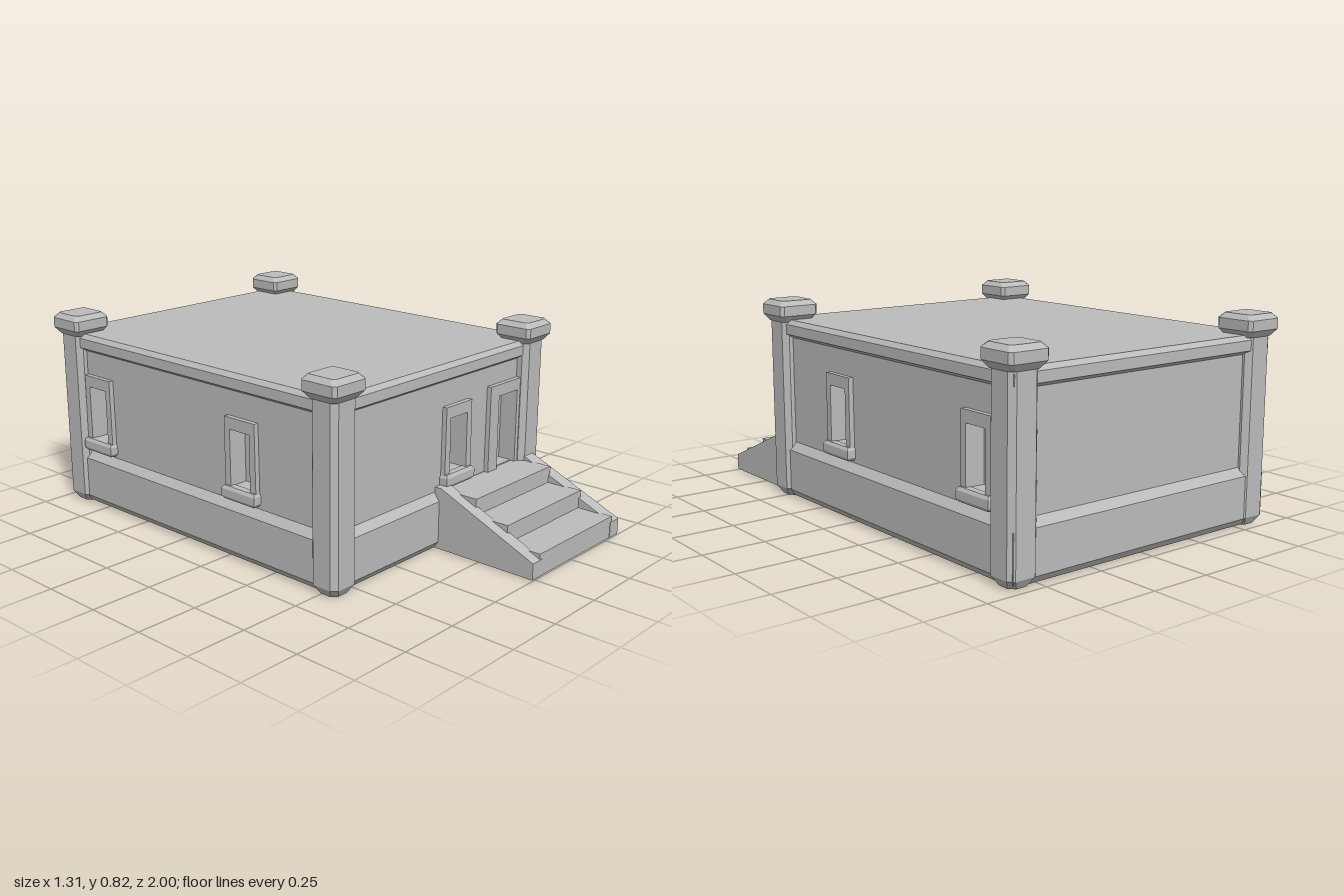
import * as THREE from 'three';

const stone = new THREE.MeshStandardMaterial({ color: 0xbcbcbc });
stone.name = 'grey stone';

const CZ = -0.205;            // centre of the house along z
const WX = 0.597, WZ = 0.742; // half sizes to the wall faces
const THICK = 0.06;           // depth of window and door recesses

function add(parent, name, geometry, x = 0, y = 0, z = 0) {
  const mesh = new THREE.Mesh(geometry, stone);
  mesh.name = name;
  mesh.position.set(x, y, z);
  parent.add(mesh);
  return mesh;
}

// Box between two corners
function block(parent, name, x0, x1, y0, y1, z0, z1) {
  return add(parent, name, new THREE.BoxGeometry(x1 - x0, y1 - y0, z1 - z0),
    (x0 + x1) / 2, (y0 + y1) / 2, (z0 + z1) / 2);
}

// Stack of rectangles [y, inset] with optional cut corners, capped at both ends
function loft(halfX, halfZ, rings, cut = 0) {
  const pos = [];
  const sections = rings.map(([y, inset]) => {
    const a = halfX - inset, b = halfZ - inset, c = cut;
    const pts = c
      ? [[a, b - c], [a - c, b], [c - a, b], [-a, b - c], [-a, c - b], [c - a, -b], [a - c, -b], [a, c - b]]
      : [[a, b], [-a, b], [-a, -b], [a, -b]];
    return pts.map(([x, z]) => [x, y, z]);
  });
  const n = sections[0].length;
  for (let s = 0; s < sections.length - 1; s++) {
    const lo = sections[s], hi = sections[s + 1];
    for (let i = 0; i < n; i++) {
      const j = (i + 1) % n;
      pos.push(...lo[i], ...hi[j], ...lo[j], ...lo[i], ...hi[i], ...hi[j]);
    }
  }
  const lo = sections[0], hi = sections[sections.length - 1];
  for (let i = 1; i < n - 1; i++) {
    pos.push(...lo[0], ...lo[i], ...lo[i + 1], ...hi[0], ...hi[i + 1], ...hi[i]);
  }
  const g = new THREE.BufferGeometry();
  g.setAttribute('position', new THREE.Float32BufferAttribute(pos, 3));
  g.computeVertexNormals();
  return g;
}

const polygon = (pts) => new THREE.Shape(pts.map(([x, y]) => new THREE.Vector2(x, y)));
const rect = (x0, x1, y0, y1) => polygon([[x0, y0], [x1, y0], [x1, y1], [x0, y1]]);

function extrude(shape, depth, holes = []) {
  shape.holes = holes;
  return new THREE.ExtrudeGeometry(shape, { depth, bevelEnabled: false });
}

// Framed window with a sill; its local z = 0 is the wall face
function windowFrame(parent, x) {
  const g = new THREE.Group();
  g.name = 'window';
  g.position.x = x;
  const outer = polygon([[-0.083, 0.27], [0.083, 0.27], [0.08, 0.567], [-0.08, 0.567]]);
  add(g, 'windowFrame', extrude(outer, 0.02, [rect(-0.052, 0.052, 0.295, 0.52)]));
  const sill = loft(0.088, 0.022, [[0.243, 0.008], [0.255, 0], [0.285, 0], [0.297, 0.008]]);
  add(g, 'windowSill', sill, 0, 0, 0.014);
  parent.add(g);
}

// One wall side: panel with openings, recessed backing and window frames
function wall(parent, name, half, dist, angle, windows, door = false) {
  const g = new THREE.Group();
  g.name = name;
  g.rotation.y = angle;
  g.position.set(Math.sin(angle) * dist, 0, CZ + Math.cos(angle) * dist);
  const holes = windows.map((x) => rect(x - 0.052, x + 0.052, 0.295, 0.52));
  if (door) holes.push(rect(0.365, 0.49, 0.235, 0.54));
  add(g, 'wallPanel', extrude(rect(-half, half, 0.19, 0.69), THICK, holes), 0, 0, -THICK);
  for (const x of windows) {
    block(g, 'windowPane', x - 0.07, x + 0.07, 0.28, 0.54, -THICK - 0.01, -THICK + 0.002);
    windowFrame(g, x);
  }
  if (door) {
    block(g, 'doorPanel', 0.35, 0.505, 0.22, 0.555, -THICK - 0.01, -THICK + 0.002);
    const frame = polygon([[0.305, 0.225], [0.365, 0.225], [0.365, 0.54], [0.49, 0.54],
      [0.49, 0.225], [0.515, 0.225], [0.515, 0.588], [0.308, 0.588]]);
    add(g, 'doorFrame', extrude(frame, 0.02));
  }
  parent.add(g);
}

export function createModel() {
  const model = new THREE.Group();
  model.name = 'house';

  // Plinth with sloped top, and the roof slab with its frieze
  add(model, 'plinth', loft(WX + 0.025, WZ + 0.025,
    [[0.004, 0.02], [0.032, 0], [0.2, 0], [0.235, 0.027]]), 0, 0, CZ);
  add(model, 'roofSlab', loft(WX + 0.025, WZ + 0.025,
    [[0.665, 0.027], [0.682, 0], [0.722, 0], [0.74, 0.016]]), 0, 0, CZ);

  // Walls
  wall(model, 'frontWall', WX, WZ, 0, [0.102], true);
  wall(model, 'backWall', WX, WZ, Math.PI, []);
  wall(model, 'leftWall', WZ, WX, Math.PI / 2, [CZ - 0.09, CZ + 0.768]);
  wall(model, 'rightWall', WZ, WX, -Math.PI / 2, [0.087 - CZ, -0.765 - CZ]);

  // Corner pillars with bevelled caps
  for (const x of [-0.572, 0.572]) {
    for (const z of [-0.914, 0.518]) {
      add(model, 'cornerPillar', loft(0.063, 0.063,
        [[0, 0.02], [0.034, 0], [0.74, 0]], 0.021), x, 0, z);
      add(model, 'pillarCap', loft(0.084, 0.083,
        [[0.73, 0.02], [0.757, 0], [0.797, 0], [0.817, 0.018]], 0.013), x, 0, z);
    }
  }

  // Front stairs: three steps between sloped side walls
  const stairs = new THREE.Group();
  stairs.name = 'stairs';
  [0.093, 0.165, 0.232].forEach((top, i) => {
    block(stairs, 'step', 0.03, 0.54, 0.004, top, 0.54, 0.998 - i * 0.148);
  });
  const side = [[0.54, 0.004], [1, 0.004], [1, 0.07], [0.57, 0.255], [0.54, 0.255]];
  for (const x of [0.042, 0.588]) {
    const g = extrude(polygon(side), 0.06);
    g.rotateY(-Math.PI / 2);
    add(stairs, 'stairSide', g, x, 0, 0);
  }
  model.add(stairs);

  return model;
}
